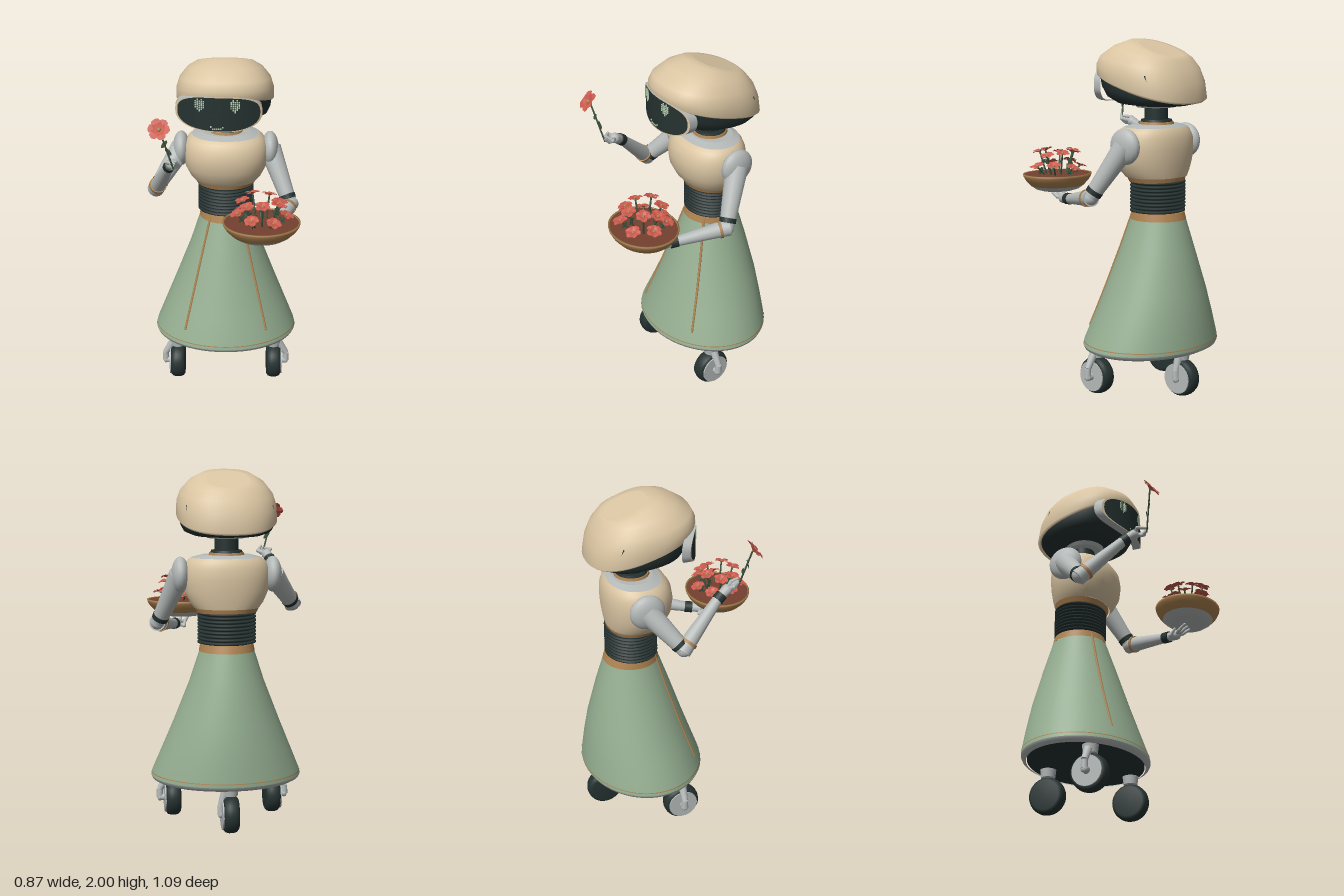
import * as THREE from 'three';
import { mergeGeometries } from 'three/addons/utils/BufferGeometryUtils.js';

const paint = (name, color, side = THREE.FrontSide) => {
  const m = new THREE.MeshStandardMaterial({ color, side });
  m.name = name;
  return m;
};
const V = (x, y, z) => new THREE.Vector3(x, y, z);
const UP = V(0, 1, 0);

// Tilted superellipse rings, listed bottom to top: [frontZ, frontY, backZ, backY, halfWidth]
function loft(rings, { p = 2, cx = 0.004, n = 56, top = false, bottom = false } = {}) {
  const pos = [], idx = [];
  const addRing = ([fz, fy, bz, by, w]) => {
    for (let j = 0; j < n; j++) {
      const a = (j / n) * Math.PI * 2, c = Math.cos(a), s = Math.sin(a);
      const k = 1 / Math.pow(Math.abs(c) ** p + Math.abs(s) ** p, 1 / p);
      const t = (k * s + 1) / 2;
      pos.push(cx + w * k * c, by + (fy - by) * t, bz + (fz - bz) * t);
    }
  };
  rings.forEach(addRing);
  for (let i = 0; i < rings.length - 1; i++) for (let j = 0; j < n; j++) {
    const a = i * n + j, b = i * n + (j + 1) % n;
    idx.push(a, a + n, b, b, a + n, b + n);
  }
  const cap = (r, up) => {
    const s = pos.length / 3;
    addRing(r);
    pos.push(cx, (r[1] + r[3]) / 2, (r[0] + r[2]) / 2);
    for (let j = 0; j < n; j++) {
      const a = s + j, b = s + (j + 1) % n;
      idx.push(s + n, up ? b : a, up ? a : b);
    }
  };
  if (top) cap(rings[rings.length - 1], true);
  if (bottom) cap(rings[0], false);
  const g = new THREE.BufferGeometry();
  g.setAttribute('position', new THREE.Float32BufferAttribute(pos, 3));
  g.setIndex(idx);
  g.computeVertexNormals();
  return g;
}
const level = (y, f, b, w) => [f, y, b, y, w];

// Tapered rod from a to b
function rod(a, b, ra, rb, sides = 20) {
  const d = b.clone().sub(a), g = new THREE.CylinderGeometry(rb, ra, d.length(), sides);
  g.applyQuaternion(new THREE.Quaternion().setFromUnitVectors(UP, d.normalize()));
  return g.translate(...a.clone().add(b).multiplyScalar(0.5));
}
const ball = (c, r, sx = 1) => new THREE.SphereGeometry(r, 20, 14).scale(sx, 1, 1).translate(c.x, c.y, c.z);

export function createModel() {
  const root = new THREE.Group();
  root.name = 'gardenRobot';
  const cream = paint('cream shell', 0xdac5a2, THREE.DoubleSide);
  const sage = paint('sage skirt', 0x94ad90);
  const dark = paint('dark rubber', 0x253231);
  const grey = paint('light grey', 0xb4b9b8, THREE.DoubleSide);
  const bronze = paint('bronze trim', 0xad8250);
  const soil = paint('red brown soil', 0x74402f);
  const red = paint('coral petals', 0xcb5a4d, THREE.DoubleSide);
  const green = paint('stem green', 0x3e5540, THREE.DoubleSide);
  const glow = paint('pale screen light', 0xb5d0ae);
  const add = (name, geo, mat, parent = root) => {
    const m = new THREE.Mesh(geo, mat);
    m.name = name;
    parent.add(m);
    return m;
  };

  // Skirt, hem, belt and piping
  const skirt = [[0.285, 0.155, -0.545, 0.424], [0.31, 0.15, -0.545, 0.418], [0.45, 0.1, -0.53, 0.36],
    [0.6, 0.047, -0.508, 0.298], [0.83, -0.03, -0.455, 0.208], [1.0, -0.09, -0.405, 0.153]];
  add('skirt', loft(skirt.map(r => level(...r)), { top: true }), sage);
  add('hem', loft([level(0.258, 0.125, -0.515, 0.397), level(0.27, 0.148, -0.538, 0.418), level(0.285, 0.155, -0.545, 0.424)]), grey);
  add('skirtUnderside', loft([level(0.262, 0.12, -0.51, 0.392), level(0.27, 0.12, -0.51, 0.392)], { bottom: true }), dark);
  add('hemLine', loft([level(0.303, 0.153, -0.548, 0.422), level(0.308, 0.152, -0.547, 0.421)]), bronze);
  add('belt', loft([level(0.998, -0.088, -0.407, 0.156), level(1.04, -0.1, -0.393, 0.148)], { top: true }), bronze);
  const skirtFront = (x, y) => {
    let i = 0;
    while (i < skirt.length - 2 && skirt[i + 1][0] < y) i++;
    const t = (y - skirt[i][0]) / (skirt[i + 1][0] - skirt[i][0]);
    const [f, b, w] = [1, 2, 3].map(k => skirt[i][k] + (skirt[i + 1][k] - skirt[i][k]) * t);
    return (f + b) / 2 + (f - b) / 2 * Math.sqrt(1 - (x / w) ** 2);
  };
  for (const s of [-1, 1]) {
    const pts = [];
    for (let i = 0; i <= 10; i++) {
      const y = 0.37 + 0.066 * i, x = s * (0.24 - 0.0152 * i);
      pts.push(V(x + 0.004, y, skirtFront(x, y)));
    }
    add('skirtPiping', new THREE.TubeGeometry(new THREE.CatmullRomCurve3(pts), 30, 0.007, 8), bronze);
  }

  // Castor wheels: two in front, one behind
  for (const [x, z, side, out] of [[-0.285, -0.045, -1, 0.03], [0.295, -0.045, 1, 0.03], [0.005, -0.43, 1, 0.008]]) {
    const w = new THREE.Group();
    w.name = 'castor';
    w.position.set(x, 0.107, z);
    root.add(w);
    const tyre = [[0, -0.043], [0.085, -0.043], [0.1, -0.032], [0.106, -0.012], [0.106, 0.012], [0.1, 0.032], [0.085, 0.043], [0, 0.043]];
    add('tyre', new THREE.LatheGeometry(tyre.map(q => new THREE.Vector2(...q)), 40).rotateZ(Math.PI / 2), dark, w);
    add('hub', new THREE.CylinderGeometry(0.086, 0.086, 0.01, 32).rotateZ(Math.PI / 2).translate(side * 0.045, 0, 0), grey, w);
    const hub = V(side * (0.046 + out), 0, 0), knee = V(side * (0.046 + out), 0.05, 0);
    add('fork', mergeGeometries([rod(knee, V(side * 0.03, 0.125, 0), 0.018, 0.024), rod(hub, knee, 0.02, 0.018), ball(hub, 0.022, 0.7),
      rod(V(side * 0.04, 0, 0), hub, 0.022, 0.02)]), grey, w);
    add('forkMount', new THREE.CylinderGeometry(0.046, 0.04, 0.05, 24).translate(0, 0.132, 0), grey, w);
    add('swivel', new THREE.CylinderGeometry(0.034, 0.034, 0.03, 20).translate(0, 0.165, 0), dark, w);
  }

  // Bellows waist
  const waist = [];
  for (let i = 0; i < 9; i++) {
    const y = 1.04 + i * 0.02;
    waist.push(level(y, -0.11, -0.38, 0.145), level(y + 0.004, -0.095, -0.393, 0.163), level(y + 0.012, -0.095, -0.393, 0.163), level(y + 0.016, -0.11, -0.38, 0.145));
  }
  add('bellowsWaist', loft(waist), dark);

  // Chest and neck
  add('chestBand', loft([level(1.212, -0.09, -0.382, 0.168), level(1.24, -0.08, -0.388, 0.182)], { bottom: true }), bronze);
  add('chest', loft([level(1.238, -0.078, -0.388, 0.182), level(1.27, -0.052, -0.394, 0.206), level(1.33, -0.023, -0.402, 0.234), level(1.4, -0.015, -0.406, 0.243),
    level(1.46, -0.025, -0.402, 0.238), level(1.497, -0.05, -0.388, 0.218), level(1.515, -0.075, -0.375, 0.195)], { p: 2.2 }), cream);
  add('shoulderPlate', loft([level(1.515, -0.075, -0.375, 0.195), level(1.53, -0.12, -0.345, 0.14)], { p: 2.2, top: true }), grey);
  add('collar', new THREE.CylinderGeometry(0.095, 0.1, 0.016, 40).translate(0.004, 1.535, -0.232), bronze);
  add('neckBase', new THREE.CylinderGeometry(0.085, 0.09, 0.016, 40).translate(0.004, 1.547, -0.232), dark);
  add('neck', new THREE.CylinderGeometry(0.066, 0.066, 0.13, 32).translate(0.004, 1.6, -0.23), dark);

  // Head
  add('helmet', loft([[0.095, 1.815, -0.478, 1.648, 0.264], [0.108, 1.825, -0.494, 1.66, 0.276], [0.11, 1.87, -0.478, 1.755, 0.274], [0.088, 1.912, -0.448, 1.828, 0.256],
    [0.005, 1.967, -0.41, 1.88, 0.21], [-0.085, 1.997, -0.39, 1.9, 0.155], [-0.145, 1.987, -0.375, 1.903, 0.115]], { p: 2.4, top: true, cx: 0 }), cream);
  add('headCore', loft([[-0.02, 1.65, -0.39, 1.632, 0.19], [0.04, 1.69, -0.44, 1.642, 0.24], [0.075, 1.75, -0.468, 1.652, 0.257], [0.09, 1.815, -0.474, 1.66, 0.26]],
    { p: 2.4, bottom: true, cx: 0 }), dark);
  add('neckPlate', new THREE.CylinderGeometry(0.12, 0.105, 0.02, 32).translate(0.004, 1.632, -0.225), grey);
  for (const s of [-1, 1])
    add('helmetSlot', new THREE.BoxGeometry(0.008, 0.03, 0.01).rotateX(0.4).translate(s * 0.233, 1.79, -0.35), dark);

  // Curved face visor
  const faceZ = x => { const d = x + 0.035; return 0.114 - 1.4 * d * d + 0.1 * d; };
  const visor = g => {
    const q = g.attributes.position;
    for (let i = 0; i < q.count; i++) {
      const x = q.getX(i), y = q.getY(i), r = Math.hypot(x, y), c = r ? x / r : 1, s = r ? y / r : 0;
      const k = r / Math.pow(Math.abs(c) ** 2.7 + Math.abs(s) ** 2.7, 1 / 2.7);
      const X = -0.035 + 0.24 * k * c;
      q.setXYZ(i, X, 1.742 + 0.1 * k * s, faceZ(X) + q.getZ(i));
    }
    g.computeVertexNormals();
    return g;
  };
  add('visorScreen', visor(new THREE.RingGeometry(0.001, 0.95, 56, 8)), dark);
  add('visorTrim', visor(new THREE.RingGeometry(0.95, 1, 56, 1)), cream);
  add('visorShell', visor(new THREE.CylinderGeometry(1, 1, 0.05, 56, 1, true).rotateX(Math.PI / 2).translate(0, 0, -0.025)), grey);
  const pixels = (cx, cy, rows) => {
    const out = [];
    rows.forEach((row, r) => [...row].forEach((ch, c) => {
      const x = cx + (c - (row.length - 1) / 2) * 0.011;
      if (ch === '1') out.push(new THREE.BoxGeometry(0.0075, 0.0075, 0.004).translate(x, cy - (r - (rows.length - 1) / 2) * 0.011, faceZ(x) + 0.002));
    }));
    return mergeGeometries(out);
  };
  const eye = ['01010', '11111', '11111', '11111', '11111', '01110', '00100'];
  add('rightEye', pixels(-0.14, 1.79, eye), glow);
  add('leftEye', pixels(0.055, 1.79, eye), glow);
  add('mouth', pixels(-0.045, 1.666, ['1000001', '0111110']), glow);

  // Arms
  const arm = (name, sh, el, wr, hand, fingers) => {
    const g = new THREE.Group();
    g.name = name;
    root.add(g);
    const along = (a, b, t) => a.clone().lerp(b, t);
    add('shoulder', ball(sh, 0.1, 0.5), grey, g);
    add('upperArm', mergeGeometries([rod(sh, el, 0.064, 0.042), ball(el, 0.043)]), grey, g);
    add('elbowJoint', rod(along(el, sh, 0.16), along(el, sh, 0.08), 0.048, 0.047), dark, g);
    add('elbowRing', rod(along(el, wr, 0.1), along(el, wr, 0.15), 0.05, 0.05), bronze, g);
    add('forearm', rod(along(el, wr, -0.05), wr, 0.048, 0.028), grey, g);
    add('wristCuff', rod(along(wr, el, 0.06), along(wr, hand, 0.35), 0.033, 0.033), dark, g);
    add('palm', mergeGeometries([rod(wr, hand, 0.024, 0.03), ball(hand, 0.03)]), grey, g);
    const parts = [];
    for (const [a, b] of fingers) parts.push(rod(hand, a, 0.013, 0.011, 10), ball(a, 0.0115), rod(a, b, 0.011, 0.008, 10), ball(b, 0.008));
    add('fingers', mergeGeometries(parts), grey, g);
  };
  arm('leftArm', V(0.26, 1.42, -0.228), V(0.375, 1.135, -0.075), V(0.265, 1.09, 0.2), V(0.24, 1.085, 0.27),
    [-1, 0, 1].map(i => [V(0.22 + i * 0.03, 1.09, 0.31), V(0.21 + i * 0.04, 1.11, 0.35)]).concat([[V(0.2, 1.07, 0.25), V(0.19, 1.1, 0.28)]]));
  arm('rightArm', V(-0.255, 1.42, -0.228), V(-0.395, 1.235, -0.07), V(-0.305, 1.465, 0.165), V(-0.29, 1.495, 0.215),
    [-1, 0, 1].map(i => [V(-0.262 + i * 0.018, 1.5 + i * 0.012, 0.258), V(-0.272 + i * 0.006, 1.525 + i * 0.012, 0.285)]).concat([[V(-0.315, 1.52, 0.245), V(-0.29, 1.525, 0.28)]]));

  // Flowers: ruffled faceted petals around a small centre
  const flower = (at, dir, size, spin, parent) => {
    const f = new THREE.Group(), petals = [];
    f.name = 'flower';
    f.position.copy(at);
    f.quaternion.setFromUnitVectors(UP, dir.normalize());
    parent.add(f);
    for (let i = 0; i < 6; i++) {
      const p = new THREE.CircleGeometry(1, 8).rotateX(-Math.PI / 2).scale(0.46, 1, 0.48).translate(0, 0, 0.52).toNonIndexed();
      const q = p.attributes.position;
      for (let k = 0; k < q.count; k++) q.setY(k, 0.42 * q.getZ(k) - 0.25 * q.getZ(k) ** 3 + 0.5 * q.getX(k) ** 2 + (i % 2) * 0.1);
      p.computeVertexNormals();
      petals.push(p.scale(size, size, size).rotateY(spin + i * Math.PI / 3));
    }
    add('petals', mergeGeometries(petals), red, f);
    add('flowerCentre', new THREE.SphereGeometry(size * 0.2, 10, 8).translate(0, size * 0.15, 0), bronze, f);
  };
  const leaf = (at, tilt) => add('leaf', new THREE.CircleGeometry(1, 8).scale(0.011, 0.027, 1).rotateZ(tilt).translate(...at), green);
  const stemTop = V(-0.345, 1.735, 0.335);
  add('heldStem', rod(V(-0.278, 1.5, 0.288), stemTop, 0.005, 0.005, 8), green);
  flower(stemTop, V(-0.15, 0.6, 0.75), 0.063, 0.3, root);
  leaf([-0.322, 1.65, 0.32], -0.6);
  leaf([-0.302, 1.6, 0.3], 0.7);

  // Bowl with a ring of flowers
  const bowl = new THREE.Group();
  bowl.name = 'flowerBowl';
  bowl.position.set(0.2, 0, 0.36);
  root.add(bowl);
  const lathe = pts => new THREE.LatheGeometry(pts.map(q => new THREE.Vector2(...q)), 48).scale(1, 1, 0.87);
  add('bowlBase', lathe([[0, 1.118], [0.1, 1.12], [0.135, 1.13], [0.165, 1.15]]), grey, bowl);
  add('bowlSide', lathe([[0.165, 1.15], [0.195, 1.18], [0.21, 1.205], [0.213, 1.218], [0.204, 1.219], [0.2, 1.205]]), bronze, bowl);
  add('soil', new THREE.CylinderGeometry(0.205, 0.19, 0.012, 48).scale(1, 1, 0.87).translate(0, 1.21, 0), soil, bowl);
  for (let i = 0; i < 14; i++) {
    const a = (i / 14) * Math.PI * 2 + 0.2, high = i % 2, r = high ? 0.105 : 0.135;
    const at = V(Math.cos(a) * r, (high ? 1.335 : 1.262) + 0.012 * Math.sin(i * 2.3), Math.sin(a) * r * 0.9);
    const foot = V(at.x * 0.62, 1.21, at.z * 0.62);
    add('stem', rod(foot, at, 0.005, 0.005, 8), green, bowl);
    flower(at, V(at.x * 3, 1, at.z * 3), 0.043, i * 1.1, bowl);
    const m = foot.clone().lerp(at, 0.55);
    add('leaf', new THREE.CircleGeometry(1, 8).scale(0.01, 0.024, 1).rotateZ(0.6).rotateY(-a).translate(m.x, m.y, m.z), green, bowl);
  }
  return root;
}
